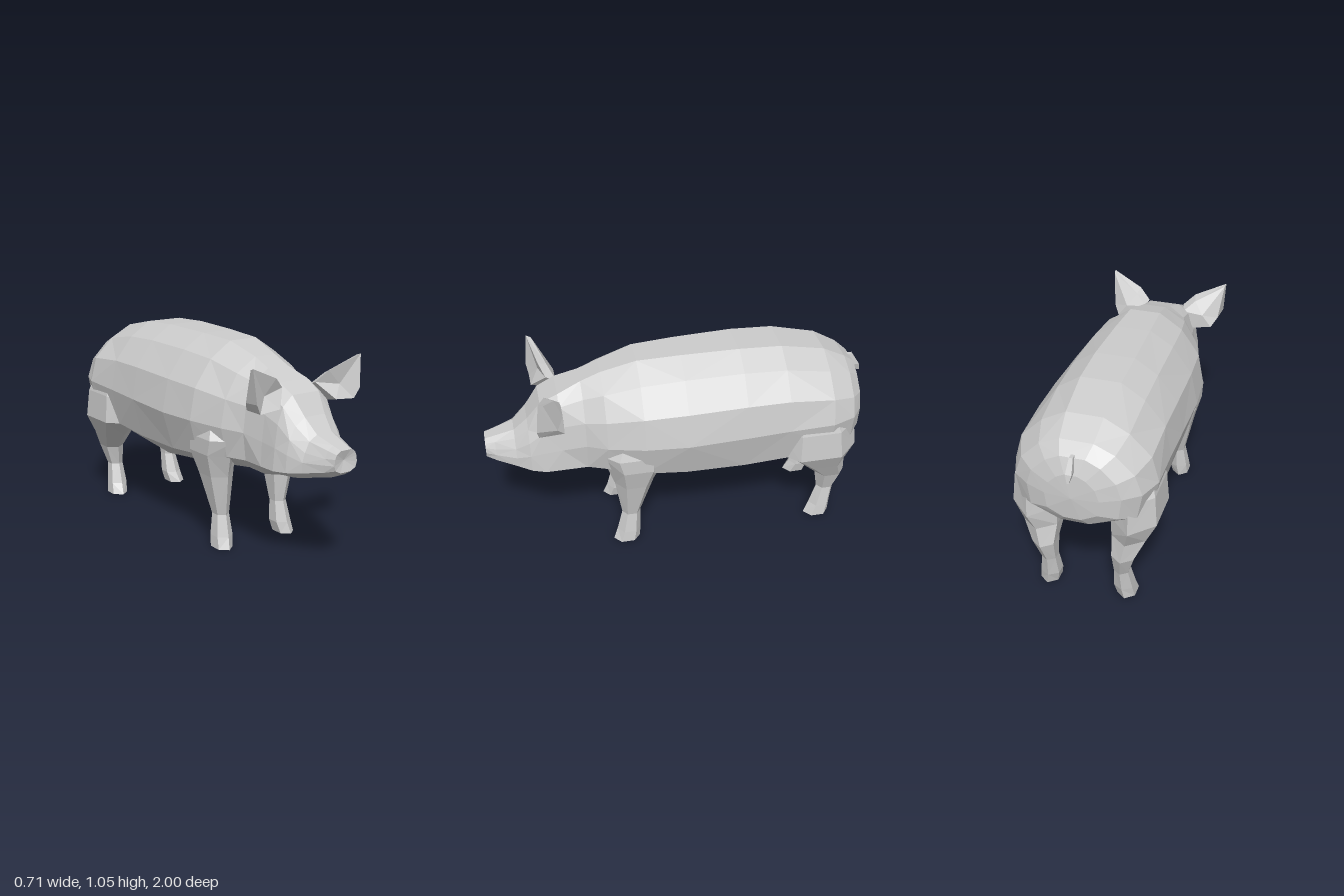
import * as THREE from 'three';

const material = new THREE.MeshStandardMaterial({ color: 0xcccccc, flatShading: true });

// Skin a list of rings (clockwise seen from the first end); optional cap centres.
function loft(name, rings, startCentre, endCentre) {
  const pos = [];
  const n = rings[0].length;
  const tri = (a, b, c) => pos.push(...a, ...b, ...c);
  for (let r = 0; r < rings.length - 1; r++) {
    for (let i = 0; i < n; i++) {
      const j = (i + 1) % n;
      const a = rings[r][i], b = rings[r][j], c = rings[r + 1][j], d = rings[r + 1][i];
      // alternate the diagonals for a faceted surface
      if ((r + i) % 2) { tri(a, b, d); tri(b, c, d); } else { tri(a, b, c); tri(a, c, d); }
    }
  }
  const last = rings[rings.length - 1];
  for (let i = 0; i < n; i++) {
    const j = (i + 1) % n;
    if (startCentre) tri(startCentre, rings[0][j], rings[0][i]);
    if (endCentre) tri(endCentre, last[i], last[j]);
  }
  const geo = new THREE.BufferGeometry();
  geo.setAttribute('position', new THREE.Float32BufferAttribute(pos, 3));
  geo.computeVertexNormals();
  const mesh = new THREE.Mesh(geo, material);
  mesh.name = name;
  return mesh;
}

// Symmetric upright section: z, then x,y pairs from the top down one flank.
function section([z, ...xy]) {
  const half = [];
  for (let i = 0; i < xy.length; i += 2) half.push([xy[i], xy[i + 1], z]);
  return [...half, ...half.map(([x, y]) => [-x, y, z]).reverse()];
}

// Level oval section: y, centre x, centre z, radius x, radius z.
function oval([y, cx, cz, rx, rz], sides) {
  return Array.from({ length: sides }, (_, i) => {
    const a = ((i + 0.5) / sides) * Math.PI * 2;
    return [cx + rx * Math.cos(a) * 1.08, y, cz + rz * Math.sin(a) * 1.08];
  });
}

function limb(name, rows, sides) {
  const first = rows[0], last = rows[rows.length - 1];
  return loft(name, rows.map((r) => oval(r, sides)),
    [first[1], first[0], first[2]], [last[1], last[0], last[2]]);
}

const neck = [0.5, 0.06, 0.94, 0.14, 0.88, 0.19, 0.77, 0.205, 0.64, 0.19, 0.5, 0.07, 0.41];

const headRows = [
  [1.0, 0.03, 0.64, 0.055, 0.625, 0.065, 0.605, 0.068, 0.575, 0.06, 0.55, 0.03, 0.535],
  [0.95, 0.035, 0.655, 0.065, 0.635, 0.08, 0.6, 0.088, 0.57, 0.085, 0.535, 0.04, 0.505],
  [0.85, 0.045, 0.685, 0.09, 0.66, 0.115, 0.61, 0.13, 0.565, 0.13, 0.515, 0.05, 0.48],
  [0.78, 0.06, 0.755, 0.115, 0.72, 0.15, 0.66, 0.165, 0.59, 0.17, 0.505, 0.06, 0.46],
  [0.71, 0.08, 0.85, 0.135, 0.8, 0.165, 0.72, 0.18, 0.61, 0.19, 0.5, 0.06, 0.445],
  [0.62, 0.085, 0.895, 0.14, 0.85, 0.17, 0.75, 0.185, 0.62, 0.19, 0.5, 0.06, 0.435],
  neck,
];

const bodyRows = [
  neck,
  [0.4, 0.06, 0.98, 0.17, 0.91, 0.24, 0.79, 0.265, 0.65, 0.23, 0.5, 0.08, 0.42],
  [0.22, 0.08, 1.035, 0.2, 0.955, 0.295, 0.82, 0.325, 0.66, 0.28, 0.48, 0.11, 0.4],
  [0, 0.09, 1.045, 0.21, 0.97, 0.31, 0.83, 0.345, 0.66, 0.285, 0.46, 0.12, 0.37],
  [-0.3, 0.1, 1.05, 0.215, 0.975, 0.315, 0.84, 0.345, 0.67, 0.29, 0.46, 0.12, 0.335],
  [-0.52, 0.1, 1.04, 0.215, 0.965, 0.315, 0.84, 0.345, 0.68, 0.3, 0.48, 0.12, 0.355],
  [-0.75, 0.09, 0.99, 0.21, 0.925, 0.315, 0.82, 0.35, 0.69, 0.32, 0.54, 0.11, 0.44],
  [-0.87, 0.08, 0.925, 0.18, 0.88, 0.27, 0.79, 0.305, 0.69, 0.28, 0.56, 0.09, 0.49],
  [-0.93, 0.06, 0.875, 0.13, 0.84, 0.2, 0.77, 0.225, 0.69, 0.21, 0.58, 0.07, 0.52],
  [-0.96, 0.03, 0.8, 0.07, 0.78, 0.11, 0.74, 0.13, 0.68, 0.12, 0.6, 0.04, 0.56],
];

const frontLegRows = [
  [0.7, 0.2, 0.25, 0.06, 0.1],
  [0.58, 0.215, 0.265, 0.09, 0.16],
  [0.5, 0.212, 0.255, 0.092, 0.14],
  [0.38, 0.198, 0.265, 0.073, 0.095],
  [0.17, 0.185, 0.285, 0.038, 0.045],
  [0.06, 0.19, 0.3, 0.05, 0.058],
  [0, 0.2, 0.315, 0.045, 0.065],
];

const hindLegRows = [
  [0.76, 0.23, -0.68, 0.08, 0.12],
  [0.63, 0.245, -0.69, 0.105, 0.19],
  [0.48, 0.245, -0.695, 0.118, 0.205],
  [0.38, 0.22, -0.745, 0.09, 0.12],
  [0.28, 0.2, -0.805, 0.058, 0.075],
  [0.17, 0.185, -0.795, 0.038, 0.045],
  [0.06, 0.19, -0.77, 0.05, 0.055],
  [0, 0.2, -0.75, 0.048, 0.065],
];

const tailRows = [
  [0.885, 0, -0.93, 0.012, 0.02],
  [0.82, 0, -0.965, 0.02, 0.028],
  [0.78, 0, -0.988, 0.006, 0.01],
];

// Ear outlines: front rim, then the smaller back of the shell
const earFront = [
  [0.1, 0.88, 0.66], [0.16, 0.935, 0.69], [0.325, 1.005, 0.73],
  [0.312, 0.84, 0.745], [0.285, 0.79, 0.735], [0.17, 0.8, 0.735],
];
const earBack = [
  [0.11, 0.86, 0.61], [0.17, 0.915, 0.645], [0.32, 0.995, 0.705],
  [0.3, 0.83, 0.645], [0.27, 0.785, 0.61], [0.17, 0.77, 0.605],
];

// Mirror a mesh's geometry across x = 0, keeping its faces outward.
function mirrored(mesh, name) {
  const geo = mesh.geometry.clone();
  const source = mesh.geometry.attributes.position;
  const p = geo.attributes.position;
  for (let i = 0; i < p.count; i += 3) {
    [0, 2, 1].forEach((from, to) => {
      p.setXYZ(i + to, -source.getX(i + from), source.getY(i + from), source.getZ(i + from));
    });
  }
  geo.computeVertexNormals();
  const copy = new THREE.Mesh(geo, material);
  copy.name = name;
  return copy;
}

export function createModel() {
  const pig = new THREE.Group();
  pig.name = 'pig';

  // Head with a slightly hollow snout disc, and the barrel body
  pig.add(loft('head', headRows.map(section), [0, 0.59, 0.985], null));
  pig.add(loft('body', bodyRows.map(section), null, [0, 0.68, -0.97]));
  pig.add(limb('tail', tailRows, 4));

  // Paired parts: the left one is built, the right one mirrored
  const pairs = {
    FrontLeg: limb('leftFrontLeg', frontLegRows, 6),
    HindLeg: limb('leftHindLeg', hindLegRows, 6),
    Ear: loft('leftEar', [earFront, earBack], [0.23, 0.86, 0.69], [0.22, 0.85, 0.61]),
  };
  for (const [part, mesh] of Object.entries(pairs)) pig.add(mesh, mirrored(mesh, 'right' + part));

  return pig;
}
